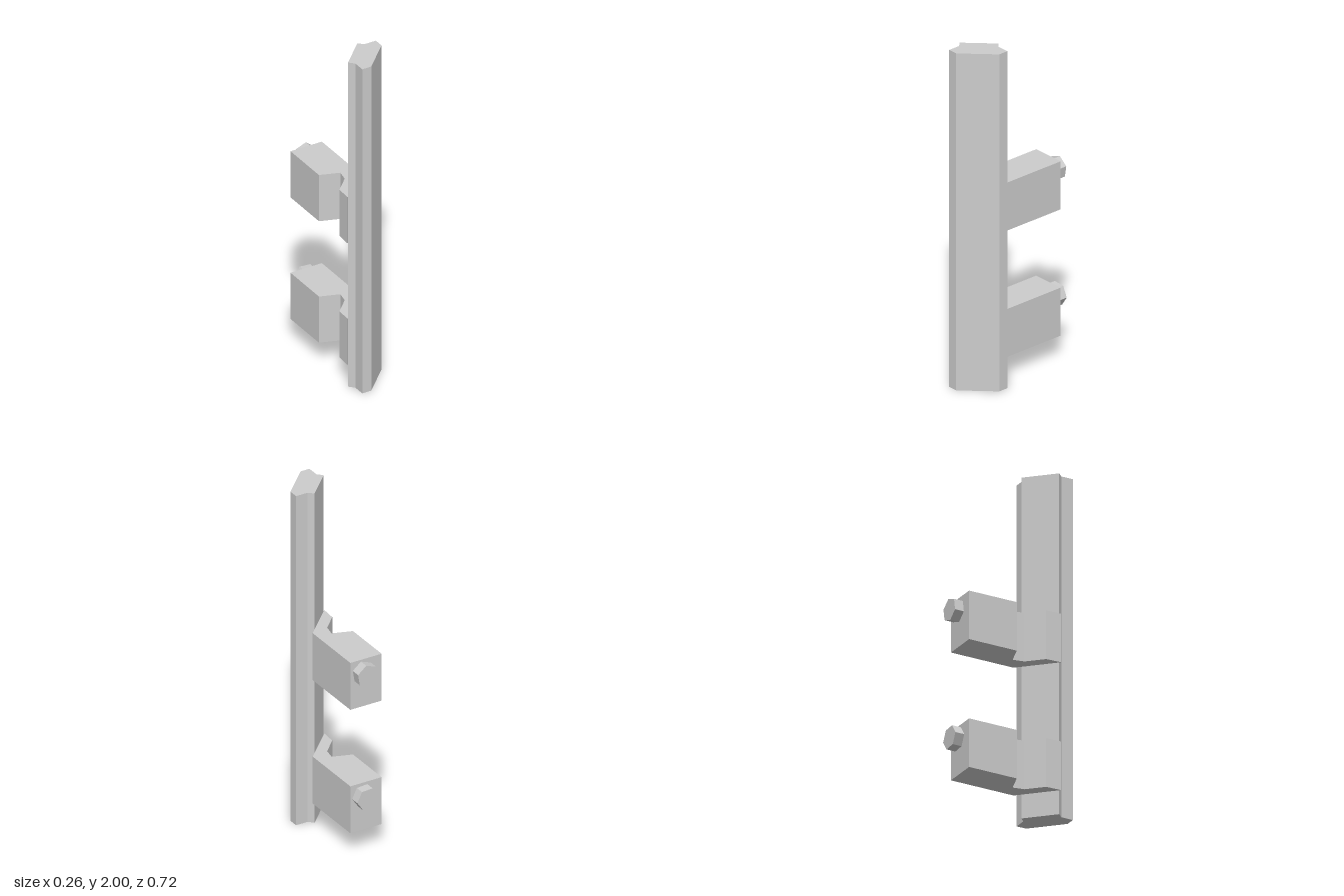
import * as THREE from 'three';

const material = new THREE.MeshStandardMaterial({ color: 0xcccccc, flatShading: true });

// Vertical prism from an [x, z] outline, standing between y0 and y0 + height
function prism(name, outline, y0, height) {
  const shape = new THREE.Shape(outline.map(([x, z]) => new THREE.Vector2(x, -z)));
  const geometry = new THREE.ExtrudeGeometry(shape, { depth: height, bevelEnabled: false });
  geometry.rotateX(-Math.PI / 2);
  const mesh = new THREE.Mesh(geometry, material);
  mesh.name = name;
  mesh.position.y = y0;
  return mesh;
}

// Hexagonal bolt head on the back of a bracket, its first corner at the given angle
function boltHead(y, degrees) {
  const corners = [];
  for (let i = 0; i < 6; i++) {
    const a = THREE.MathUtils.degToRad(degrees + i * 60);
    corners.push(new THREE.Vector2(0.066 * Math.cos(a), 0.066 * Math.sin(a)));
  }
  const geometry = new THREE.ExtrudeGeometry(new THREE.Shape(corners), { depth: 0.058, bevelEnabled: false });
  const mesh = new THREE.Mesh(geometry, material);
  mesh.name = 'boltHead';
  mesh.position.set(-0.014, y, -0.358);
  return mesh;
}

export function createModel() {
  const model = new THREE.Group();
  model.name = 'bladeWithBrackets';

  // Long slanted bar
  model.add(prism('bar', [
    [-0.115, 0.258], [-0.087, 0.287], [-0.087, 0.358], [-0.031, 0.358],
    [0.131, 0.196], [0.131, 0.138], [0.06, 0.138], [0.032, 0.111],
  ], 0, 2));

  // Two clamping brackets, each with a bolt turned to its own angle
  const bracketOutline = [
    [-0.132, -0.304], [-0.132, -0.012], [-0.022, 0.026], [-0.034, 0.091],
    [-0.118, 0.176], [-0.123, 0.266], [0.063, 0.08], [0.063, -0.304],
  ];
  for (const [name, y, angle] of [['lowerMount', 0.14, -4], ['upperMount', 0.89, 20.5]]) {
    const mount = new THREE.Group();
    mount.name = name;
    mount.add(prism('bracket', bracketOutline, y, 0.285), boltHead(y + 0.209, angle));
    model.add(mount);
  }
  return model;
}
